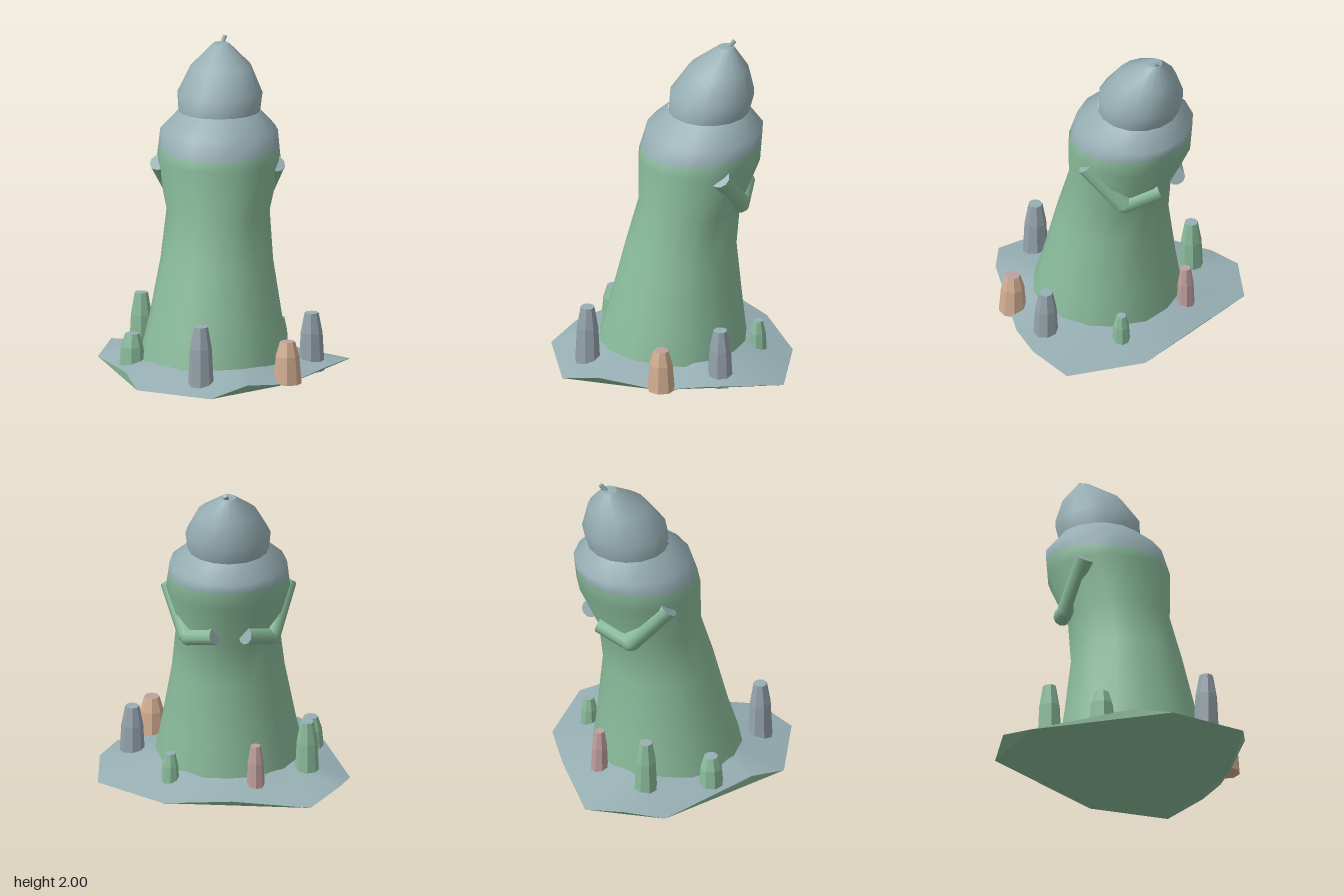
import * as THREE from 'three';

const mat = (name, color) => {
  const m = new THREE.MeshStandardMaterial({ color });
  m.name = name;
  return m;
};

// Builds an indexed surface from points and triangles with smooth normals
function surface(points, tris) {
  const g = new THREE.BufferGeometry();
  g.setAttribute('position', new THREE.Float32BufferAttribute(points.flat(), 3));
  g.setIndex(tris.flat());
  g.computeVertexNormals();
  return g;
}

// Joins closed rings of equal length, listed from bottom to top
function loft(rings) {
  const n = rings[0].length, tris = [];
  for (let k = 0; k < rings.length - 1; k++) {
    for (let i = 0; i < n; i++) {
      const a = k * n + i, c = k * n + (i + 1) % n, b = a + n, d = c + n;
      tris.push([a, b, c], [b, d, c]);
    }
  }
  return surface(rings.flat(), tris);
}

export function createModel() {
  const model = new THREE.Group();
  const green = mat('sage green', 0x8abb9b);
  const grey = mat('blue grey', 0x96aeb3);
  const slate = mat('slate grey', 0x95a3ab);
  const orange = mat('pale orange', 0xd3ae92);
  const pink = mat('dusty pink', 0xbf9f9f);
  const add = (name, geo, material, parent = model) => {
    const m = new THREE.Mesh(geo, material);
    m.name = name;
    parent.add(m);
    return m;
  };

  // Leaning body: horizontal rings of [y, centre x, centre z, radius]
  const SIDES = 16;
  const ring = ([y, cx, cz, r]) => Array.from({ length: SIDES }, (_, i) => {
    const t = i / SIDES * Math.PI * 2;
    return [cx + r * Math.cos(t), y, cz + r * Math.sin(t)];
  });
  const lower = [
    [0.04, -0.045, -0.06, 0.46], [0.1, -0.045, -0.06, 0.455], [0.3, -0.04, -0.08, 0.412],
    [0.68, -0.035, -0.111, 0.345], [0.975, -0.03, -0.172, 0.316], [1.275, -0.03, -0.243, 0.38],
  ].map(ring);
  const shoulder = ring([1.455, -0.03, -0.283, 0.36]);
  const neck = ring([1.565, -0.03, -0.31, 0.252]);
  // Sloping colour border between body and shoulders
  const border = lower[5].map((p, i) => {
    const k = (1.365 - 0.09 * (p[2] + 0.245) - p[1]) / 0.18;
    const q = shoulder[i];
    return p.map((v, j) => v + (q[j] - v) * k);
  });
  const bodyGeo = loft([...lower, border, shoulder, neck]);
  bodyGeo.addGroup(0, 6 * SIDES * 6, 0);
  bodyGeo.addGroup(6 * SIDES * 6, 2 * SIDES * 6, 1);
  add('body', bodyGeo, [green, grey]);

  // Domed head
  add('head', loft([
    [1.56, -0.03, -0.31, 0.25], [1.675, -0.027, -0.332, 0.261],
    [1.833, -0.022, -0.374, 0.185], [1.957, -0.025, -0.432, 0.048],
  ].map(ring)), grey);
  const cap = add('headCap', new THREE.CircleGeometry(0.048, SIDES), grey);
  cap.rotation.x = -Math.PI / 2;
  cap.position.set(-0.025, 1.957, -0.432);

  // Straight rod between two points
  const UP = new THREE.Vector3(0, 1, 0);
  function rod(name, from, to, r, sides, material, parent) {
    const a = new THREE.Vector3(...from), b = new THREE.Vector3(...to);
    const m = add(name, new THREE.CylinderGeometry(r, r, a.distanceTo(b), sides), material, parent);
    m.position.copy(a).lerp(b, 0.5);
    m.quaternion.setFromUnitVectors(UP, b.sub(a).normalize());
  }
  rod('topStem', [-0.022, 1.94, -0.44], [-0.004, 1.99, -0.48], 0.014, 6, grey);

  // Bent arms wrapping behind the body
  for (const s of [-1, 1]) {
    const arm = new THREE.Group();
    arm.name = s > 0 ? 'leftArm' : 'rightArm';
    const at = (x, y, z) => [-0.035 + s * x, y, z];
    const elbow = at(0.25, 1.0, -0.385);
    const ends = [grey, grey];
    rod('upperArm', at(0.355, 1.267, -0.172), elbow, 0.063, 10, [green, ...ends], arm);
    rod('forearm', elbow, at(0.09, 1.065, -0.525), 0.056, 10, [green, ...ends], arm);
    const joint = add('elbow', new THREE.SphereGeometry(0.058, 10, 8), green, arm);
    joint.position.set(...elbow);
    model.add(arm);
  }

  // Low mound: rim points [x, z, y], some lifted off the ground
  const H = 0.055;
  const rim = [
    [0.77, -0.35, 0], [0.75, -0.08, H], [0.635, 0.13, H], [0.42, 0.34, 0], [0.19, 0.61, H],
    [-0.03, 0.747, 0], [-0.49, 0.54, 0], [-0.57, 0.31, H], [-0.775, -0.325, 0],
    [-0.705, -0.57, H], [-0.52, -0.755, 0], [-0.04, -0.735, 0.04], [0.38, -0.66, 0],
  ].map(([x, z, y]) => [x, y, z]);
  const inner = rim.map(([x, , z]) => {
    const t = Math.atan2(z + 0.06, x + 0.045);
    return [-0.045 + 0.43 * Math.cos(t), 0.1, -0.06 + 0.43 * Math.sin(t)];
  });
  add('moundTop', loft([rim, inner]), grey);

  // Cut faces under the lifted rim and the flat underside
  const faces = [];
  const n = rim.length;
  for (let i = 0; i < n; i++) {
    if (rim[i][1] > 0) continue;
    let j = i + 1;
    while (rim[j % n][1] > 0) {
      faces.push(rim[i], rim[j % n], rim[(j + 1) % n]);
      j++;
    }
    faces.push([0, 0, 0], rim[i], rim[j % n]);
  }
  add('moundUnderside', surface(faces, faces.map((_, i) => i)), green);

  // Faceted eight-sided stumps: [x, z, top, radius, side colour, top colour]
  const stumps = [
    [-0.10, 0.52, 0.4, 0.08, slate, grey],
    [0.55, -0.03, 0.365, 0.08, slate, grey],
    [-0.51, -0.36, 0.4, 0.076, green, grey],
    [-0.545, 0.05, 0.24, 0.082, green, grey],
    [0.33, -0.44, 0.235, 0.058, green, grey],
    [0.42, 0.315, 0.265, 0.086, orange, pink],
    [-0.19, -0.55, 0.33, 0.058, pink, pink],
  ];
  for (const [x, z, top, r, side, lid] of stumps) {
    const stump = new THREE.Group();
    stump.name = 'stump';
    stump.position.set(x, 0.003, z);
    const profile = [[0, 0], [r, 0], [r * 0.84, top * 0.65], [r * 0.54, top - 0.003]];
    const geo = new THREE.LatheGeometry(profile.map(p => new THREE.Vector2(...p)), 8).toNonIndexed();
    geo.computeVertexNormals();
    add('stumpSides', geo, side, stump);
    const disc = new THREE.CircleGeometry(r * 0.54, 8).rotateX(-Math.PI / 2);
    add('stumpTop', disc, lid, stump).position.y = top - 0.003;
    model.add(stump);
  }
  return model;
}
